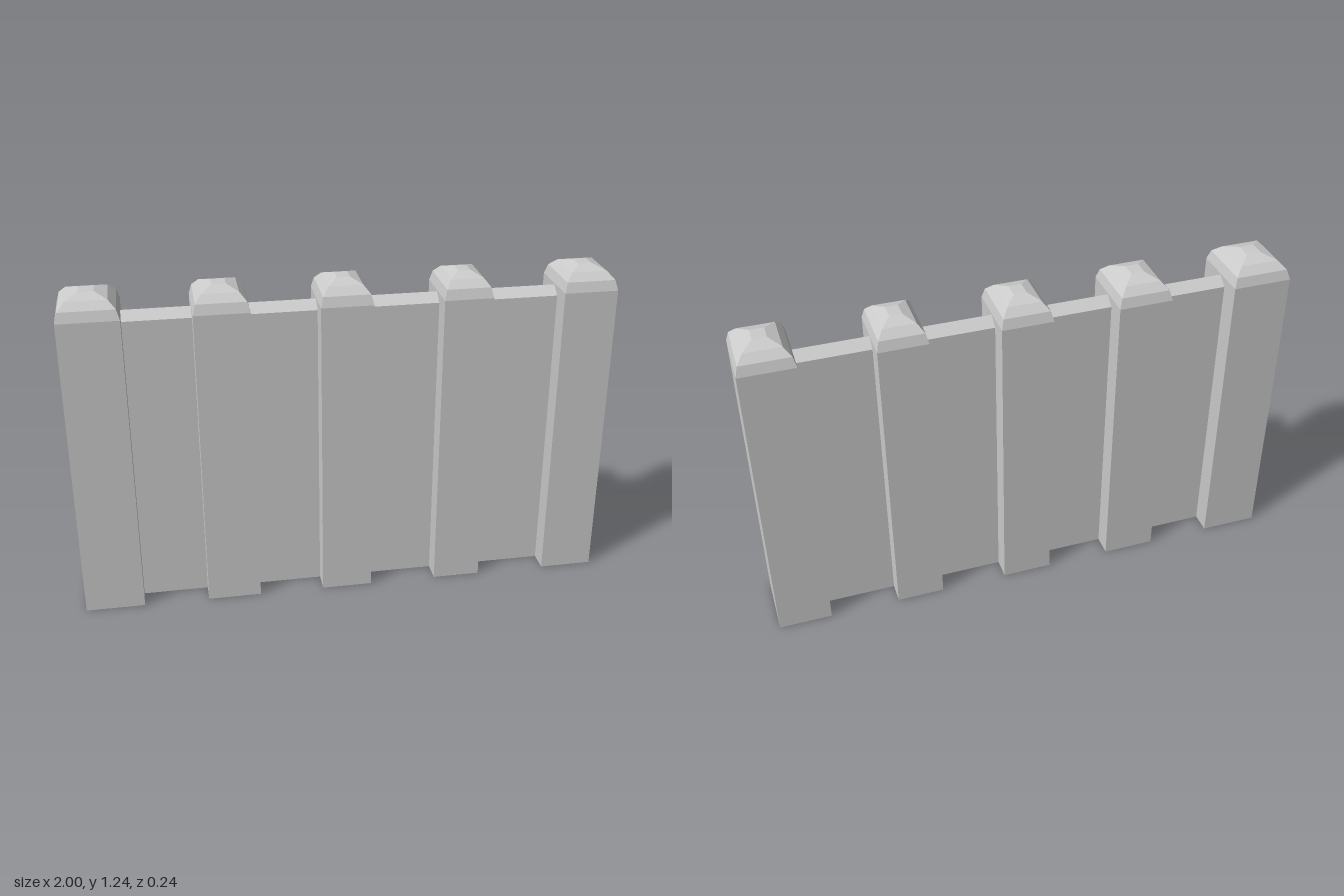
import * as THREE from 'three';

const material = new THREE.MeshStandardMaterial({ color: 0xcccccc, flatShading: true, side: THREE.DoubleSide });

// Rectangular post with a faceted, rounded cap, lofted from scaled rings
function makePost(x0, x1, halfDepth) {
  const rings = [[0, 1], [1.16, 1], [1.197, 0.9], [1.224, 0.66], [1.24, 0.25]]; // height, scale
  const corners = [[-1, 1], [1, 1], [1, -1], [-1, -1]];
  const cx = (x0 + x1) / 2, halfWidth = (x1 - x0) / 2;
  const positions = [], index = [];
  for (const [y, s] of rings) {
    for (const [a, b] of corners) positions.push(cx + a * s * halfWidth, y, b * s * halfDepth);
  }
  for (let r = 0; r < rings.length - 1; r++) {
    for (let i = 0; i < 4; i++) {
      const a = r * 4 + i, b = r * 4 + (i + 1) % 4;
      index.push(a, b, b + 4, a, b + 4, a + 4);
    }
  }
  const t = (rings.length - 1) * 4;
  index.push(t, t + 1, t + 2, t, t + 2, t + 3, 0, 2, 1, 0, 3, 2);
  const indexed = new THREE.BufferGeometry();
  indexed.setAttribute('position', new THREE.Float32BufferAttribute(positions, 3));
  indexed.setIndex(index);
  const geometry = indexed.toNonIndexed();
  geometry.computeVertexNormals();
  return new THREE.Mesh(geometry, material);
}

// Thin wall panel with a ridged top, extruded along x
function makePanel(x0, x1) {
  const section = new THREE.Shape([
    [-0.04, 0], [0.04, 0], [0.04, 1.125], [0, 1.155], [-0.04, 1.125],
  ].map(([z, y]) => new THREE.Vector2(z, y)));
  const geometry = new THREE.ExtrudeGeometry(section, { depth: x1 - x0, bevelEnabled: false });
  geometry.rotateY(Math.PI / 2).translate(x0, 0, 0);
  return new THREE.Mesh(geometry, material);
}

export function createModel() {
  const model = new THREE.Group();
  model.name = 'wall';

  // Left and right edges of each post
  const spans = [[-1, -0.78], [-0.535, -0.335], [-0.09, 0.1], [0.355, 0.535], [0.8, 1]];
  spans.forEach(([x0, x1], i) => {
    const post = makePost(x0, x1, 0.12);
    post.name = `post${i + 1}`;
    model.add(post);

    // Panel between this post and the next
    if (i < spans.length - 1) {
      const panel = makePanel(x1, spans[i + 1][0]);
      panel.name = `panel${i + 1}`;
      model.add(panel);
    }
  });
  return model;
}
